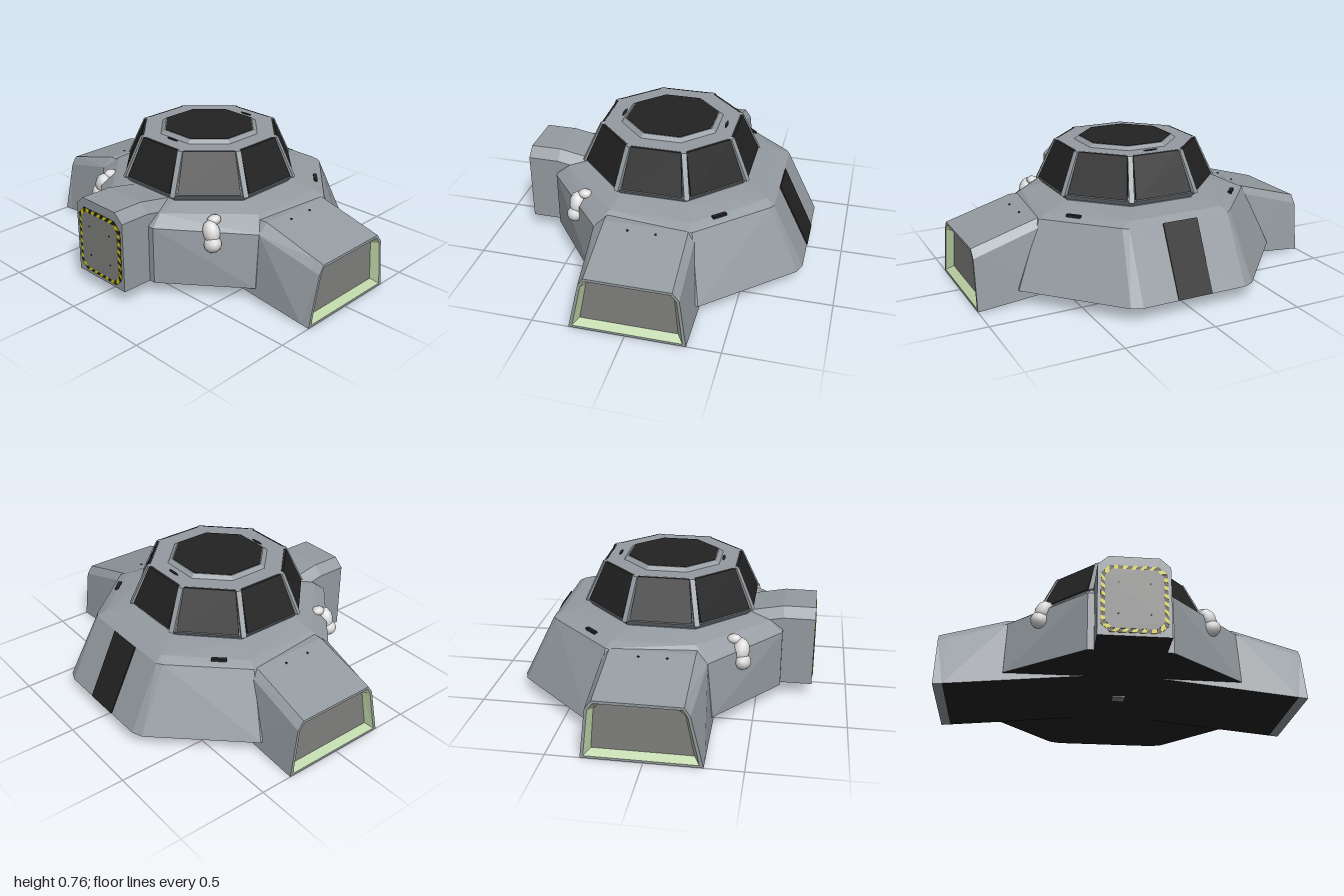
import * as THREE from 'three';
import { ConvexGeometry } from 'three/addons/geometries/ConvexGeometry.js';

const mat = (name, color) => new THREE.MeshStandardMaterial({ name, color, side: THREE.DoubleSide });

export function createModel() {
  const model = new THREE.Group();
  model.name = 'domedModule';
  const hull = mat('hullGrey', 0x949ba0);
  const dark = mat('darkGlass', 0x222222);
  const panelGrey = mat('panelGrey', 0x80807f);
  const green = mat('paleGreen', 0xbbd2a5);
  const yellow = mat('hazardYellow', 0xd8d010);
  const white = mat('lampWhite', 0xdcdcdc);

  const add = (name, geo, material, parent = model) => {
    const m = new THREE.Mesh(geo, material);
    m.name = name;
    parent.add(m);
    return m;
  };
  const convex = (pts) => new ConvexGeometry(pts.map((p) => new THREE.Vector3(...p)));
  const mirrored = (pts) => pts.flatMap(([x, y, z]) => [[x, y, z], [-x, y, z]]);

  // Solid with hull-coloured sides and a dark underside
  const hullSolid = (name, pts) => {
    const geo = convex(pts);
    const n = geo.attributes.normal;
    for (let i = 0; i < n.count; i += 3) geo.addGroup(i, 3, n.getY(i) < -0.6 ? 1 : 0);
    return add(name, geo, [hull, dark]);
  };

  // Flat-shaded skin between closed loops of equal length
  const loft = (loops) => {
    const v = [];
    for (let k = 0; k + 1 < loops.length; k++) {
      const a = loops[k], b = loops[k + 1];
      a.forEach((p, i) => {
        const j = (i + 1) % a.length;
        v.push(...p, ...a[j], ...b[j], ...p, ...b[j], ...b[i]);
      });
    }
    const geo = new THREE.BufferGeometry();
    geo.setAttribute('position', new THREE.Float32BufferAttribute(v, 3));
    geo.computeVertexNormals();
    return geo;
  };

  // Octagonal ring or frustum, sized by its apothem
  const octagon = (name, y0, y1, a0, a1, material) => {
    const c = Math.cos(Math.PI / 8);
    let geo = new THREE.CylinderGeometry(a1 / c, a0 / c, y1 - y0, 8, 1, false, Math.PI / 8).toNonIndexed();
    geo.computeVertexNormals();
    add(name, geo, material).position.y = (y0 + y1) / 2;
  };

  // Main body
  hullSolid('body', mirrored([
    [0.3, 0.08, -0.808], [0.36, 0.08, -0.785], [0.78, 0.08, -0.33], [0.64, 0.08, 0.3], [0.22, 0.08, 0.63],
    [0.29, 0.44, -0.63], [0.32, 0.44, -0.61], [0.63, 0.43, -0.26], [0.63, 0.38, 0.27], [0.22, 0.4, 0.63],
    [0.27, 0.465, -0.59], [0.58, 0.452, -0.24], [0.56, 0.45, 0.2], [0.2, 0.455, 0.56],
    [0.18, 0.482, -0.44], [0.44, 0.482, -0.18], [0.44, 0.482, 0.18], [0.18, 0.482, 0.44],
  ]));

  // Side wings with recessed ports; cross-sections are [z, y]
  const tip = [[0.3, 0], [0.235, 0.28], [0.205, 0.325], [-0.25, 0.325], [-0.285, 0.28], [-0.32, 0]];
  const mid = [[0.3, 0.037], [0.27, 0.38], [0.21, 0.43], [-0.24, 0.43], [-0.275, 0.39], [-0.325, 0.037]];
  const root = [[0.3, 0.08], [0.27, 0.38], [0.21, 0.43], [-0.24, 0.43], [-0.275, 0.39], [-0.325, 0.08]];
  const opening = [[0.28, 0.013], [0.222, 0.272], [0.2, 0.31], [-0.243, 0.31], [-0.272, 0.272], [-0.302, 0.013]];
  const inner = [[0.25, 0.04], [0.205, 0.265], [0.165, 0.298], [-0.21, 0.298], [-0.25, 0.265], [-0.27, 0.04]];
  const k = 0.05 / 0.37;
  const nearTip = tip.map(([z, y], i) => [z + (mid[i][0] - z) * k, y + (mid[i][1] - y) * k]);
  for (const s of [1, -1]) {
    const at = (sec, x) => sec.map(([z, y]) => [s * x, y, z]);
    const side = s > 0 ? 'left' : 'right';
    hullSolid(side + 'Wing', [...at(root, 0.2), ...at(mid, 0.63), ...at(nearTip, 0.95)]);
    add(side + 'PortRim', loft([at(nearTip, 0.95), at(tip, 1), at(opening, 1)]), hull);
    add(side + 'PortFrame', loft([at(opening, 1), at(inner, 0.96)]), green);
    add(side + 'PortPanel', convex([...at(inner, 0.96), ...at(inner, 0.952)]), panelGrey);

    // Lumpy lamp on the front shoulder
    for (const [x, y, z, rx, ry, rz, tilt] of [
      [0.42, 0.435, 0.385, 0.035, 0.028, 0.04, 0.2],
      [0.44, 0.385, 0.425, 0.048, 0.065, 0.045, 0.4],
      [0.46, 0.325, 0.435, 0.052, 0.045, 0.045, 0.5],
    ]) {
      const lamp = add(side + 'Lamp', new THREE.IcosahedronGeometry(1, 1), white);
      lamp.position.set(s * x, y, z);
      lamp.scale.set(rx, ry, rz);
      lamp.rotation.z = s * tilt;
    }

    // Rear shoulder vent and roof bolts
    const vent = add(side + 'Vent', new THREE.BoxGeometry(0.08, 0.014, 0.02), dark);
    vent.position.set(s * 0.48, 0.457, -0.37);
    vent.rotation.y = -s * 0.83;
    for (const z of [-0.08, 0.07]) {
      add(side + 'RoofBolt', new THREE.CylinderGeometry(0.006, 0.006, 0.008, 6), dark).position.set(s * 0.675, 0.418, z);
    }
  }

  // Front airlock
  const lock = (z, top) => [[0.185, 0.08, z], [0.185, top - 0.05, z], [0.13, top, z]];
  hullSolid('airlock', mirrored([...lock(0.804, 0.52), ...lock(0.63, 0.52), ...lock(0.43, 0.482)]));

  // Door with hazard border
  const doorLoop = (w, y0, y1, c) => [
    [w, y0 + c], [w, y1 - c], [w - c, y1], [c - w, y1], [-w, y1 - c], [-w, y0 + c], [c - w, y0], [w - c, y0],
  ];
  const outer = doorLoop(0.168, 0.097, 0.468, 0.045);
  const inside = doorLoop(0.147, 0.118, 0.447, 0.037);
  const slab = (loop, z0, z1) => convex(loop.flatMap(([x, y]) => [[x, y, z0], [x, y, z1]]));
  add('hazardBorder', slab(outer, 0.8, 0.806), dark);
  add('doorPanel', slab(inside, 0.8, 0.8085), panelGrey);
  outer.forEach((p, i) => {
    const j = (i + 1) % 8;
    const n = [6, 1, 5, 1][i % 4];
    const point = (a, b, t, z) => [a[0] + (b[0] - a[0]) * t, a[1] + (b[1] - a[1]) * t, z];
    for (let q = 0; q < n; q++) {
      const t0 = (q + 0.1) / n, t1 = (q + 0.6) / n, skew = 0.3 / n;
      const quad = (z) => [
        point(p, outer[j], t0, z), point(p, outer[j], t1, z),
        point(inside[i], inside[j], t1 + skew, z), point(inside[i], inside[j], t0 + skew, z),
      ];
      add('hazardStripe', convex([...quad(0.803), ...quad(0.808)]), yellow);
    }
  });
  for (const x of [-0.08, 0.08]) for (const y of [0.2, 0.37]) {
    const bolt = add('doorBolt', new THREE.CylinderGeometry(0.006, 0.006, 0.006, 6), dark);
    bolt.rotation.x = Math.PI / 2;
    bolt.position.set(x, y, 0.807);
  }

  // Dark strip down the rear slope
  add('rearStrip', convex(mirrored([
    [0.1, 0.085, -0.802], [0.1, 0.083, -0.812], [0.1, 0.435, -0.63], [0.1, 0.443, -0.637],
  ])), dark);

  // Cupola
  octagon('cupolaBase', 0.465, 0.488, 0.435, 0.435, hull);
  octagon('cupolaSill', 0.488, 0.518, 0.44, 0.465, hull);
  octagon('cupolaShell', 0.515, 0.735, 0.455, 0.357, hull);
  octagon('roofCollar', 0.735, 0.754, 0.265, 0.243, hull);
  octagon('roofGlass', 0.75, 0.756, 0.239, 0.239, dark);
  for (let i = 0; i < 8; i++) {
    const bay = new THREE.Group();
    bay.name = 'cupolaBay';
    bay.rotation.y = (i * Math.PI) / 4;
    model.add(bay);
    add('window', convex(mirrored([
      [0.166, 0.523, 0.464], [0.166, 0.523, 0.452], [0.136, 0.734, 0.37], [0.136, 0.734, 0.358],
    ])), dark, bay);
    add('strut', convex(mirrored([
      [0.014, 0.512, 0.508], [0.014, 0.512, 0.48], [0.014, 0.735, 0.401], [0.014, 0.735, 0.37],
    ])), hull, bay).rotation.y = Math.PI / 8;
  }

  // Small roof slots and belly hatch
  for (const z of [-0.305, 0.28]) {
    const slot = add('roofSlot', new THREE.CylinderGeometry(0.04, 0.04, 0.008, 12), dark);
    slot.position.set(0, 0.735, z);
    slot.scale.z = 0.2;
  }
  add('bellyHatch', new THREE.BoxGeometry(0.07, 0.008, 0.07), panelGrey).position.y = 0.077;

  return model;
}
